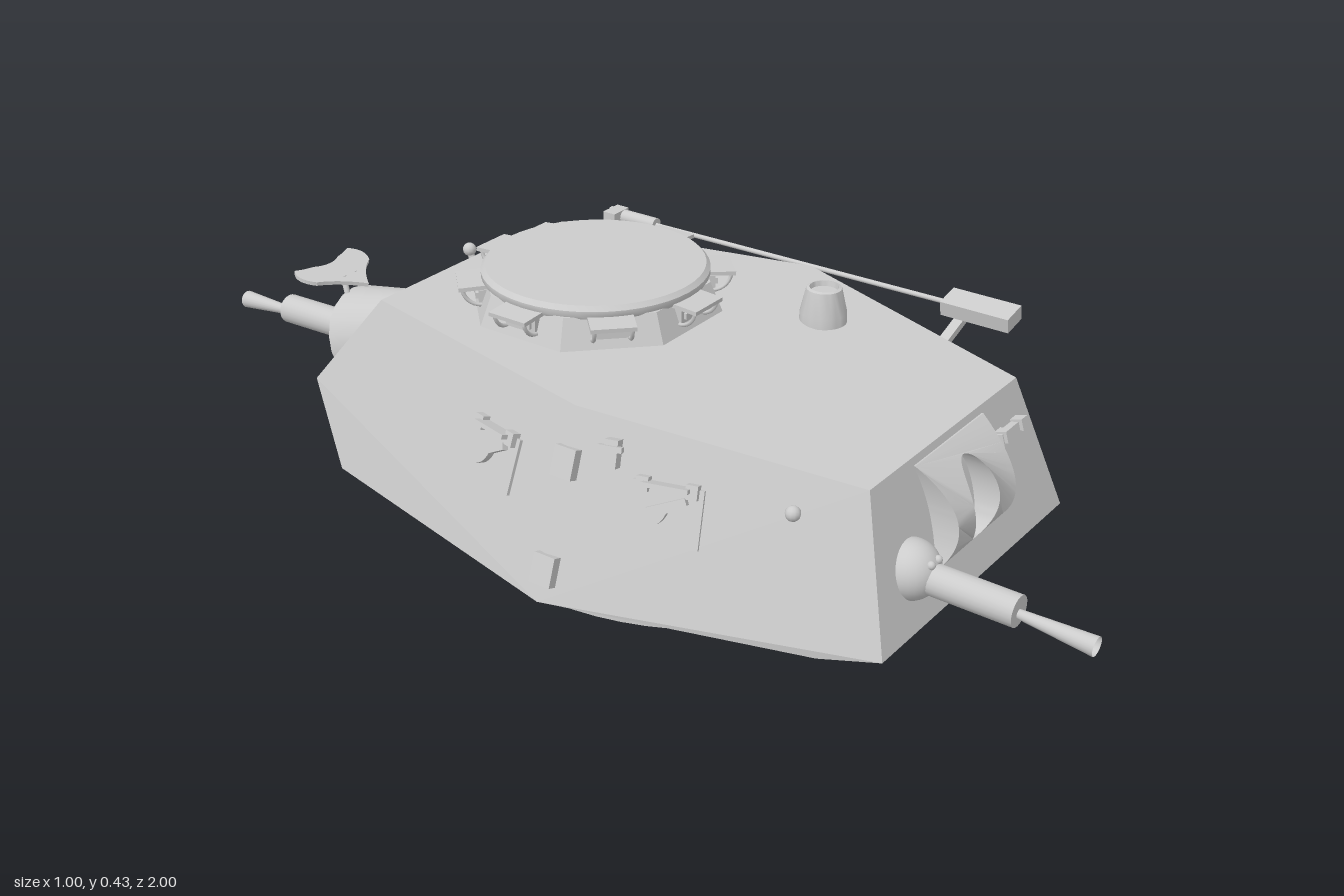
import * as THREE from 'three';
import { toCreasedNormals } from 'three/addons/utils/BufferGeometryUtils.js';
import { ConvexGeometry } from 'three/addons/geometries/ConvexGeometry.js';

const V = (x, y, z) => new THREE.Vector3(x, y, z);
const material = new THREE.MeshStandardMaterial({ color: 0xcccccc });
const flat = new THREE.MeshStandardMaterial({ color: 0xcccccc, flatShading: true });
const twoSided = new THREE.MeshStandardMaterial({ color: 0xcccccc, side: THREE.DoubleSide });

function add(parent, name, geometry, x = 0, y = 0, z = 0, mat = material) {
  const mesh = new THREE.Mesh(geometry, mat);
  mesh.name = name;
  mesh.position.set(x, y, z);
  parent.add(mesh);
  return mesh;
}
const box = (w, h, d) => new THREE.BoxGeometry(w, h, d);

// Round bar from a to b, with a radius at each end
function bar(parent, name, a, b, ra, rb = ra, open = false) {
  const dir = b.clone().sub(a);
  const mid = a.clone().add(b).multiplyScalar(0.5);
  const geometry = new THREE.CylinderGeometry(rb, ra, dir.length(), 20, 1, open);
  const mesh = add(parent, name, geometry, mid.x, mid.y, mid.z, open ? twoSided : material);
  mesh.quaternion.setFromUnitVectors(V(0, 1, 0), dir.normalize());
  return mesh;
}

// Group lying on a sloped side plate: local z points outward, local x runs along the plate
function onSide(parent, name, side, y, z) {
  const slope = z > 0.09 ? 0.272 : -0.238;
  const g = new THREE.Group();
  g.name = name;
  const n = V(side, 0.353, slope).normalize();
  const along = V(0, 1, 0).cross(n).normalize();
  g.setRotationFromMatrix(new THREE.Matrix4().makeBasis(along, n.clone().cross(along), n));
  g.position.set(side * (0.5 - 0.353 * (y - 0.01) - slope * (z - 0.09)), y, z);
  parent.add(g);
  return g;
}

function addHull(root) {
  const points = [];
  for (const s of [-1, 1]) {
    points.push(
      V(s * 0.36, 0.012, 0.58), V(s * 0.33, 0.03, 0.69), V(s * 0.26, 0.3, 0.61),
      V(s * 0.5, 0.012, 0.09), V(s * 0.38, 0.35, 0.09),
      V(s * 0.35, 0.012, -0.53), V(s * 0.285, 0.15, -0.65), V(s * 0.25, 0.35, -0.49));
  }
  add(root, 'hull', new ConvexGeometry(points), 0, 0, 0, flat);
  add(root, 'turretRing', new THREE.CylinderGeometry(0.47, 0.47, 0.02, 64), 0, 0.01, 0.1);
}

// Bulged mantlet with an oval opening, bent over the front plate
function addMantlet(root) {
  const outline = [];
  const half = 0.093, steps = 24;
  for (const s of [1, -1]) {
    for (let i = 0; i <= steps; i++) {
      const t = (i / steps * 2 - 1) * s;
      outline.push(new THREE.Vector2(s * (0.104 + 0.018 * t * t), 0.193 + t * half));
    }
  }
  const shape = new THREE.Shape(outline);
  const hole = new THREE.Path();
  hole.absellipse(0, 0.188, 0.045, 0.077, 0, Math.PI * 2, true);
  shape.holes.push(hole);
  const geometry = new THREE.ExtrudeGeometry(shape, { depth: 1, bevelEnabled: false, curveSegments: 24 });
  const p = geometry.attributes.position;
  for (let i = 0; i < p.count; i++) {
    const t = (p.getY(i) - 0.193) / half;
    const plate = 0.69 - 0.08 * (p.getY(i) - 0.03) / 0.27;
    p.setZ(i, plate - 0.01 + p.getZ(i) * (0.013 + 0.052 * (1 - t * t)));
  }
  add(root, 'mantlet', toCreasedNormals(geometry, 0.6));
}

function addGuns(root) {
  // Front ball-mounted gun
  add(root, 'frontBallMount', new THREE.SphereGeometry(0.055, 28, 18), -0.187, 0.13, 0.655);
  bar(root, 'frontBarrelSleeve', V(-0.187, 0.126, 0.66), V(-0.187, 0.122, 0.86), 0.029);
  bar(root, 'frontFlashCone', V(-0.187, 0.118, 0.85), V(-0.187, 0.108, 1), 0.008, 0.018, true);
  for (const s of [-1, 1])
    add(root, 'frontSightHole', new THREE.SphereGeometry(0.008, 10, 8), -0.187 + s * 0.012, 0.158, 0.7);

  // Rear gun in its rounded housing
  bar(root, 'rearGunHousing', V(-0.137, 0.25, -0.46), V(-0.137, 0.19, -0.65), 0.08, 0.102);
  add(root, 'rearBallMount', new THREE.SphereGeometry(0.065, 28, 18), -0.137, 0.195, -0.64);
  bar(root, 'rearBarrelSleeve', V(-0.137, 0.197, -0.64), V(-0.137, 0.191, -0.87), 0.03);
  bar(root, 'rearFlashCone', V(-0.137, 0.185, -0.86), V(-0.137, 0.178, -1), 0.008, 0.018, true);

  // Two-lobed plate held above the rear gun
  const s = new THREE.Shape();
  s.moveTo(0, -0.065);
  s.quadraticCurveTo(0.035, -0.015, 0.075, 0.005);
  s.quadraticCurveTo(0.1, 0.04, 0.075, 0.068);
  s.quadraticCurveTo(0.06, 0.06, 0.035, 0.055);
  s.quadraticCurveTo(0, 0.035, -0.035, 0.055);
  s.quadraticCurveTo(-0.06, 0.06, -0.075, 0.068);
  s.quadraticCurveTo(-0.1, 0.04, -0.075, 0.005);
  s.quadraticCurveTo(-0.035, -0.015, 0, -0.065);
  const shield = add(root, 'rearGunShield',
    new THREE.ExtrudeGeometry(s, { depth: 0.008, bevelEnabled: false }), -0.137, 0.31, -0.7);
  shield.rotation.x = -Math.PI / 2 + 0.15;
  for (const k of [-1, 1])
    bar(root, 'shieldStrut', V(-0.137 + k * 0.03, 0.22, -0.65), V(-0.137 + k * 0.015, 0.315, -0.69), 0.006);
}

// Eight-sided commander's cupola with a visor over every window
function addCupola(root) {
  const cupola = new THREE.Group();
  cupola.name = 'cupola';
  cupola.position.z = -0.16;
  root.add(cupola);
  add(cupola, 'cupolaBody',
    new THREE.CylinderGeometry(0.225, 0.252, 0.065, 8).rotateY(Math.PI / 8), 0, 0.375, 0, flat);
  const lid = [[0, 0.403], [0.216, 0.403], [0.22, 0.41], [0.22, 0.42], [0.212, 0.429], [0, 0.431]];
  add(cupola, 'cupolaLid', toCreasedNormals(
    new THREE.LatheGeometry(lid.map(p => new THREE.Vector2(...p)), 48), 0.6));
  for (let i = 0; i < 8; i++) {
    const unit = new THREE.Group();
    unit.name = 'visionUnit';
    unit.rotation.y = i * Math.PI / 4;
    cupola.add(unit);
    add(unit, 'windowFrame', box(0.07, 0.028, 0.03), 0, 0.383, 0.212);
    add(unit, 'windowSlit', box(0.054, 0.012, 0.008), 0, 0.383, 0.229);
    add(unit, 'visor', box(0.085, 0.008, 0.055), 0, 0.404, 0.238).rotation.x = 0.06;
    for (const s of [-1, 1]) {
      const rib = add(unit, 'visorArm', new THREE.TorusGeometry(0.036, 0.004, 6, 8, Math.PI / 2),
        s * 0.035, 0.404, 0.222);
      rib.rotation.set(0, -Math.PI / 2, 0);
      rib.rotation.z = -Math.PI / 2;
    }
  }
}

// Ports, hinges and hooks on both flanks
function addFlankFittings(root) {
  const lever = new THREE.Shape();
  lever.moveTo(-0.045, -0.03);
  lever.quadraticCurveTo(-0.005, -0.025, 0.005, 0.005);
  lever.lineTo(0.04, 0.025);
  lever.lineTo(0.035, 0.037);
  lever.lineTo(-0.035, 0.008);
  lever.lineTo(-0.03, -0.005);
  lever.quadraticCurveTo(-0.02, -0.012, -0.045, -0.03);
  const leverGeometry = new THREE.ExtrudeGeometry(lever, { depth: 0.014, bevelEnabled: false });
  for (const side of [-1, 1]) {
    for (const z of [0.285, -0.09]) {
      const port = onSide(root, 'sidePort', side, 0.2, z);
      add(port, 'portPlate', box(0.13, 0.105, 0.016));
      add(port, 'portLever', leverGeometry, 0, 0, 0.007);
      add(port, 'portHood', box(0.085, 0.008, 0.035), 0, 0.05, 0.015);
      for (const s of [-1, 1])
        add(port, 'portHinge', box(0.022, 0.026, 0.022), s * 0.045, 0.048, 0.008);
    }
    for (const y of [0.07, 0.255])
      add(root, 'cornerHinge', box(0.024, 0.055, 0.045), side * (0.5 - 0.353 * (y - 0.01)), y, 0.095)
        .rotation.z = side * 0.34;
    const bracket = onSide(root, 'sideBracket', side, 0.285, 0.175);
    add(bracket, 'bracketBlock', box(0.025, 0.05, 0.03), 0, 0, 0.01);
    add(bracket, 'bracketPin', box(0.045, 0.01, 0.012), 0, 0.01, 0.025);
    const hook = onSide(root, 'liftingHook', side, 0.245, 0.5);
    bar(hook, 'hookStem', V(0, 0, 0), V(0, 0, 0.025), 0.007);
    add(hook, 'hookHead', new THREE.SphereGeometry(0.014, 12, 8), 0, 0, 0.027);
  }
}

// Stowed aerial along the left edge with its case and rear pivot
function addAerial(root) {
  add(root, 'aerialCase', box(0.055, 0.03, 0.145), 0.398, 0.345, 0.46).rotation.z = 0.2;
  add(root, 'aerialCaseArm', box(0.12, 0.014, 0.02), 0.355, 0.3, 0.42).rotation.z = 0.35;
  bar(root, 'aerialRod', V(0.4, 0.342, 0.42), V(0.4, 0.336, -0.4), 0.005);
  bar(root, 'aerialClamp', V(0.4, 0.337, -0.31), V(0.4, 0.337, -0.43), 0.015);
  add(root, 'aerialHead', box(0.05, 0.025, 0.03), 0.39, 0.34, -0.41);
  bar(root, 'aerialStalk', V(0.4, 0.335, -0.41), V(0.355, 0.22, -0.405), 0.006);
  const pivot = onSide(root, 'aerialPivot', 1, 0.215, -0.405);
  add(pivot, 'pivotDisc', new THREE.CylinderGeometry(0.03, 0.04, 0.03, 24).rotateX(Math.PI / 2), 0, 0, 0.01);
}

function addSmallFittings(root) {
  // Hatch beside the mantlet
  const hatch = new THREE.Group();
  hatch.name = 'frontHatch';
  hatch.position.set(0.192, 0.195, 0.643);
  hatch.rotation.x = -0.288;
  root.add(hatch);
  add(hatch, 'hatchPlate', box(0.088, 0.085, 0.03));
  for (const s of [-1, 1]) add(hatch, 'hatchClip', box(0.022, 0.022, 0.036), s * 0.03, 0.036, 0.004);

  // Roof ventilator
  const vent = [[0.046, 0], [0.045, 0.02], [0.034, 0.068], [0.028, 0.07], [0.026, 0.06], [0, 0.06]];
  add(root, 'roofVent', toCreasedNormals(
    new THREE.LatheGeometry(vent.map(p => new THREE.Vector2(...p)), 28), 0.6), 0.2, 0.335, 0.23);

  // Stud on the rear slope
  bar(root, 'rearStud', V(0.07, 0.29, -0.53), V(0.07, 0.335, -0.545), 0.007);
  add(root, 'rearStudHead', new THREE.SphereGeometry(0.014, 12, 8), 0.07, 0.335, -0.545);
}

export function createModel() {
  const root = new THREE.Group();
  root.name = 'turret';
  addHull(root);
  addMantlet(root);
  addGuns(root);
  addCupola(root);
  addFlankFittings(root);
  addAerial(root);
  addSmallFittings(root);
  return root;
}
